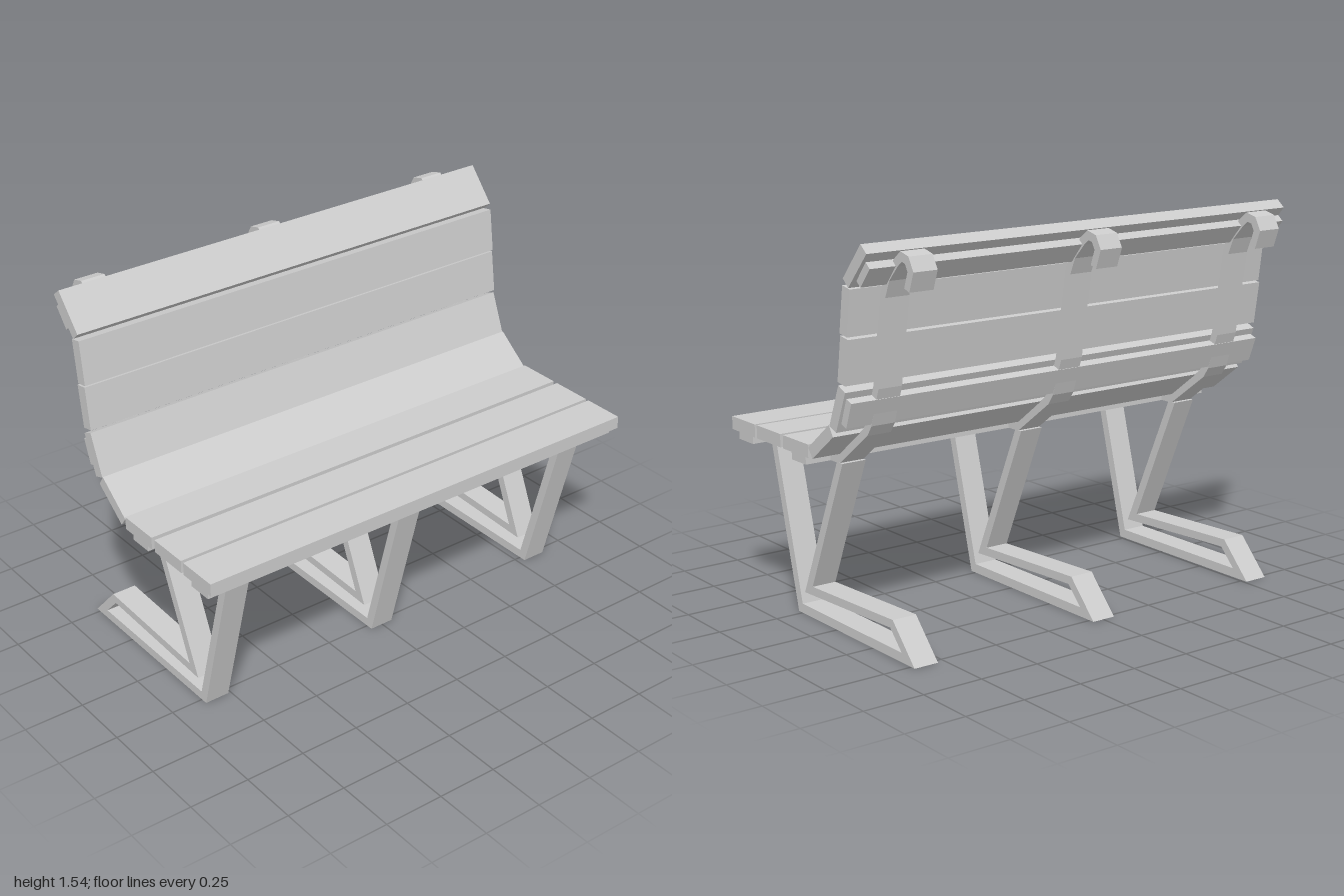
import * as THREE from 'three';

const material = new THREE.MeshStandardMaterial({ color: 0xcccccc, flatShading: true });

// Side profile given as [z, y] points, extruded along x around its middle
function extrudeProfile(points, width, name, x = 0) {
  const shape = new THREE.Shape(points.map(([z, y]) => new THREE.Vector2(z, y)));
  const geometry = new THREE.ExtrudeGeometry(shape, { depth: width, bevelEnabled: false });
  geometry.translate(0, 0, -width / 2).rotateY(-Math.PI / 2);
  const mesh = new THREE.Mesh(geometry, material);
  mesh.name = name;
  mesh.position.x = x;
  return mesh;
}

// Outline of a bent flat bar: offsets a centre line to both sides with mitred corners
function barOutline(path, half) {
  const pts = path.map(([z, y]) => new THREE.Vector2(z, y));
  const left = [], right = [];
  pts.forEach((p, i) => {
    const a = p.clone().sub(pts[Math.max(i - 1, 0)]).normalize();
    const b = pts[Math.min(i + 1, pts.length - 1)].clone().sub(p).normalize();
    const t = a.clone().add(b).normalize();
    const d = half / t.dot(i === 0 ? b : a.lengthSq() ? a : b);
    left.push([p.x - t.y * d, p.y + t.x * d]);
    right.unshift([p.x + t.y * d, p.y - t.x * d]);
  });
  return [...left, ...right];
}

const rect = (z0, z1, y0, y1) => [[z0, y0], [z0, y1], [z1, y1], [z1, y0]];

export function createModel() {
  const bench = new THREE.Group();
  bench.name = 'bench';

  // Seat planks
  [[0.55, 0.375], [0.36, 0.185], [0.165, -0.015]].forEach(([a, b], i) =>
    bench.add(extrudeProfile(rect(a, b, 0.698, 0.75), 2, `seatSlat${i + 1}`)));

  // Back planks, following the curve of the backrest
  [
    [[-0.016, 0.739], [-0.045, 0.702], [-0.19, 0.812], [-0.163, 0.853]],
    [[-0.167, 0.849], [-0.212, 0.833], [-0.278, 0.992], [-0.233, 1.012]],
    [[-0.229, 1.024], [-0.278, 1.016], [-0.304, 1.188], [-0.253, 1.196]],
    [[-0.249, 1.204], [-0.298, 1.196], [-0.322, 1.371], [-0.273, 1.38]],
    [[-0.278, 1.405], [-0.312, 1.375], [-0.433, 1.51], [-0.396, 1.54]],
  ].forEach((p, i) => bench.add(extrudeProfile(p, 2, `backSlat${i + 1}`)));

  // Long battens under the seat and behind the back
  [
    rect(0.515, 0.41, 0.664, 0.698),
    rect(0.12, 0.02, 0.664, 0.698),
    [[-0.233, 0.869], [-0.265, 0.857], [-0.302, 0.955], [-0.269, 0.967]],
    [[-0.351, 1.404], [-0.376, 1.384], [-0.437, 1.457], [-0.412, 1.478]],
  ].forEach((p, i) => bench.add(extrudeProfile(p, 1.98, `batten${i + 1}`)));

  // Folded leg and foot loop
  const leg = [
    [0.457, 0.667], [0.278, 0], [-0.522, 0], [-0.384, 0.147], [0.171, 0.127], [-0.063, 0.667],
    [-0.024, 0.667], [0.229, 0.09], [-0.367, 0.113], [-0.44, 0.037], [0.249, 0.037], [0.42, 0.667],
  ];
  // Bar under the seat that rises behind the back and ends in a hook
  const bar = barOutline([
    [0.515, 0.681], [-0.037, 0.681], [-0.224, 0.82], [-0.249, 0.857], [-0.298, 1.0], [-0.33, 1.204],
    [-0.351, 1.339], [-0.38, 1.408], [-0.437, 1.469], [-0.47, 1.495], [-0.505, 1.486],
    [-0.527, 1.447], [-0.503, 1.38],
  ], 0.0165);

  [-0.813, -0.003, 0.831].forEach((x, i) => {
    const support = new THREE.Group();
    support.name = `support${i + 1}`;
    support.position.x = x;
    support.add(extrudeProfile(leg, 0.103, 'leg'), extrudeProfile(bar, 0.102, 'backBar'));
    bench.add(support);
  });

  return bench;
}
